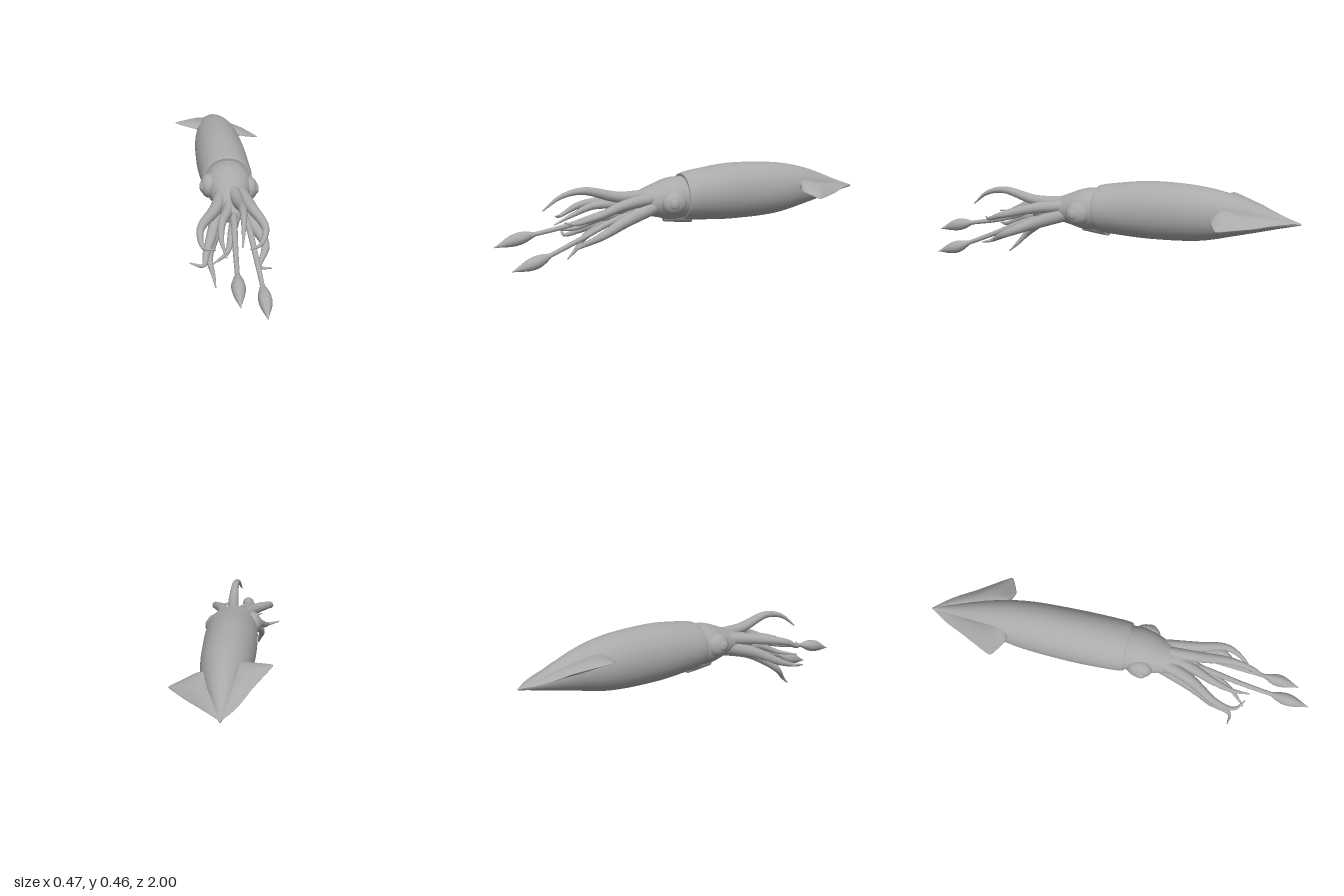
import * as THREE from 'three';

const V = (x, y, z) => new THREE.Vector3(x, y, z);

// Ring of points made by a rule of the angle's cosine and sine
const ring = (sides, rule) => Array.from({ length: sides }, (_, j) => {
  const a = j / sides * Math.PI * 2;
  return rule(Math.cos(a), Math.sin(a));
});

// Closed smooth skin over rings (counter-clockwise about the travel direction)
function skin(rings) {
  const n = rings[0].length, idx = [];
  for (let i = 0; i < rings.length - 1; i++) {
    for (let j = 0; j < n; j++) {
      const a = i * n + j, b = i * n + (j + 1) % n;
      idx.push(a, b, a + n, b, b + n, a + n);
    }
  }
  // end caps
  const last = (rings.length - 1) * n;
  for (let j = 1; j < n - 1; j++) idx.push(0, j + 1, j, last, last + j, last + j + 1);
  const g = new THREE.BufferGeometry().setFromPoints(rings.flat());
  g.setIndex(idx);
  g.computeVertexNormals();
  return g;
}

// Body loft along +z; stations are [z, cx, cy, rx, ry]
function loft(stations, steps) {
  const spline = pts => new THREE.CatmullRomCurve3(pts, false, 'catmullrom', 0.5);
  const mid = spline(stations.map(s => V(s[1], s[2], s[0])));
  const rad = spline(stations.map(s => V(s[3], s[4], 0)));
  const rings = [];
  for (let i = 0; i <= steps; i++) {
    const m = mid.getPoint(i / steps), r = rad.getPoint(i / steps);
    rings.push(ring(32, (c, s) => V(m.x + Math.max(r.x, 0.002) * c, m.y + Math.max(r.y, 0.002) * s, m.z)));
  }
  return skin(rings);
}

// Limb swept along a curve with a radius rule
function limb(points, radius, steps = 44, sides = 12) {
  const curve = new THREE.CatmullRomCurve3(points.map(p => V(...p)));
  const f = curve.computeFrenetFrames(steps, false), rings = [];
  for (let i = 0; i <= steps; i++) {
    const p = curve.getPointAt(i / steps), r = radius(i / steps);
    rings.push(ring(sides, (c, s) => p.clone()
      .addScaledVector(f.normals[i], r * c).addScaledVector(f.binormals[i], r * s)));
  }
  return skin(rings);
}

// Fin blade: lens sections from the back to the outer edge, rolled about the body axis
function fin(side) {
  const outline = [[0, -1], [0.065, -0.92], [0.125, -0.83], [0.185, -0.74],
    [0.242, -0.65], [0.215, -0.625], [0.145, -0.595], [0.09, -0.61]];
  const edge = new THREE.CatmullRomCurve3(outline.map(([w, z]) => V(w, 0, z)), false, 'catmullrom', 0.35);
  const place = (w, h, z) => {
    const k = (z + 1) / 0.38, roll = -0.23 * Math.min(k * 2, 1);
    const p = V(side * w, h, 0).applyAxisAngle(V(0, 0, 1), roll);
    return p.add(V(-0.03 + 0.03 * k, 0.3 + 0.045 * k, z + (side < 0 ? 0.03 * k : 0)));
  };
  const rings = [], steps = 36;
  for (let i = 0; i <= steps; i++) {
    const t = i / steps, E = edge.getPoint(t);
    const fade = t > 0.85 ? 1 - (t - 0.85) * 4 : 1;
    const thick = 0.004 + 0.04 * Math.sin(Math.PI * Math.min(t * 0.62, 0.5)) * fade;
    rings.push(ring(20, (c, s) => {
      const q = 0.5 + 0.5 * c;
      const w = THREE.MathUtils.lerp(0.05 * t, E.x, q), z = THREE.MathUtils.lerp(-0.99 + 0.38 * t, E.z, q);
      return place(w, side * thick * s * (0.58 - 0.42 * c) + 0.013 * t * (1 - c * c), z);
    }));
  }
  return skin(rings);
}

export function createModel() {
  const group = new THREE.Group();
  const flesh = new THREE.MeshStandardMaterial({ color: 0xaaaaaa });
  flesh.name = 'grey flesh';
  const add = (name, geometry) => {
    const m = new THREE.Mesh(geometry, flesh);
    m.name = name;
    group.add(m);
    return m;
  };

  // Torpedo-shaped mantle with a rolled collar
  add('mantle', loft([
    [-1, -0.03, 0.298, 0.004, 0.004], [-0.9, -0.027, 0.305, 0.034, 0.033],
    [-0.7, -0.018, 0.32, 0.085, 0.095], [-0.5, -0.015, 0.32, 0.12, 0.137],
    [-0.25, -0.015, 0.32, 0.132, 0.147], [-0.06, -0.011, 0.315, 0.132, 0.132],
    [0.025, -0.008, 0.312, 0.127, 0.12], [0.035, -0.008, 0.312, 0.112, 0.106],
    [0.02, -0.008, 0.312, 0.06, 0.06],
  ], 80));

  // Head, narrowing to the arm crown
  add('head', loft([
    [-0.02, -0.008, 0.31, 0.1, 0.1], [0.04, -0.008, 0.307, 0.114, 0.107],
    [0.11, -0.008, 0.304, 0.118, 0.106], [0.18, -0.01, 0.3, 0.1, 0.086],
    [0.25, -0.014, 0.292, 0.08, 0.066], [0.4, -0.02, 0.268, 0.045, 0.032],
  ], 40));

  // Eyes, fins: one of each per side, rolled slightly with the body
  for (const side of [1, -1]) {
    const name = side > 0 ? 'left' : 'right';
    const x = -0.008 + side * 0.098, y = 0.305 - side * 0.01;
    const eye = add(name + 'Eye', new THREE.SphereGeometry(1, 24, 16));
    eye.scale.set(0.046, 0.06, 0.066);
    eye.position.set(x, y, 0.115);
    const pupil = add(name + 'Pupil', new THREE.SphereGeometry(1, 16, 12));
    pupil.scale.set(0.012, 0.026, 0.028);
    pupil.position.set(x + side * 0.039, y, 0.125);
    add(name + 'Fin', fin(side));
  }

  // Funnel under the head
  add('funnel', limb([[-0.015, 0.22, -0.01], [-0.02, 0.212, 0.06], [-0.025, 0.205, 0.13]],
    u => 0.052 - 0.03 * u, 12, 16));

  // Tapering arms rooted around the crown: angle in degrees, base radius, path
  const addArm = (name, angle, radius, ...path) => {
    const a = THREE.MathUtils.degToRad(angle);
    const root = [-0.005 + 0.055 * Math.cos(a), 0.295 + 0.035 * Math.sin(a), 0.2];
    add(name, limb([root, ...path], u => 0.003 + (radius - 0.003) * (1 - Math.pow(u, 1.7))));
  };
  addArm('topArm', 85, 0.032, [0.012, 0.332, 0.38], [0.012, 0.375, 0.57], [0.002, 0.35, 0.68], [-0.012, 0.285, 0.765]);
  addArm('upperRightArm', 140, 0.034, [-0.1, 0.298, 0.37], [-0.182, 0.27, 0.53], [-0.175, 0.225, 0.63], [-0.125, 0.232, 0.67]);
  addArm('upperLeftArm', 40, 0.032, [0.075, 0.3, 0.37], [0.122, 0.262, 0.53], [0.085, 0.228, 0.63], [0.035, 0.228, 0.67]);
  addArm('lowerLeftArm', -30, 0.036, [0.08, 0.22, 0.37], [0.125, 0.165, 0.51], [0.087, 0.11, 0.62], [0.138, 0.112, 0.64]);
  addArm('lowerRightArm', -150, 0.036, [-0.1, 0.225, 0.37], [-0.155, 0.15, 0.53], [-0.178, 0.124, 0.61], [-0.238, 0.142, 0.61]);
  addArm('bottomArm', -115, 0.036, [-0.085, 0.215, 0.37], [-0.14, 0.115, 0.51], [-0.125, 0.045, 0.575], [-0.12, 0.008, 0.615]);
  addArm('innerUpperArm', 110, 0.03, [-0.035, 0.295, 0.36], [-0.078, 0.28, 0.49], [-0.09, 0.24, 0.59], [-0.075, 0.2, 0.69]);
  addArm('innerLowerArm', -85, 0.03, [-0.005, 0.25, 0.36], [-0.03, 0.225, 0.48], [-0.065, 0.177, 0.59], [-0.135, 0.163, 0.67]);

  // Two long feeding tentacles ending in leaf-shaped clubs
  const club = u => {
    const k = (u - 0.74) / 0.26;
    if (k < 0) return 0.018 - 0.007 * u / 0.74;
    return 0.002 + 0.009 * (1 - k) + 0.025 * Math.pow(Math.max(Math.sin(Math.PI * Math.pow(k, 0.85)), 0), 1.3);
  };
  add('rightTentacle', limb([[-0.01, 0.29, 0.22], [-0.015, 0.26, 0.42], [-0.03, 0.2, 0.64],
    [-0.043, 0.155, 0.87], [-0.047, 0.118, 1]], club, 64));
  add('leftTentacle', limb([[0.03, 0.27, 0.22], [0.055, 0.225, 0.42], [0.07, 0.145, 0.61],
    [0.082, 0.057, 0.83], [0.08, 0.022, 0.945]], club, 64));

  return group;
}
